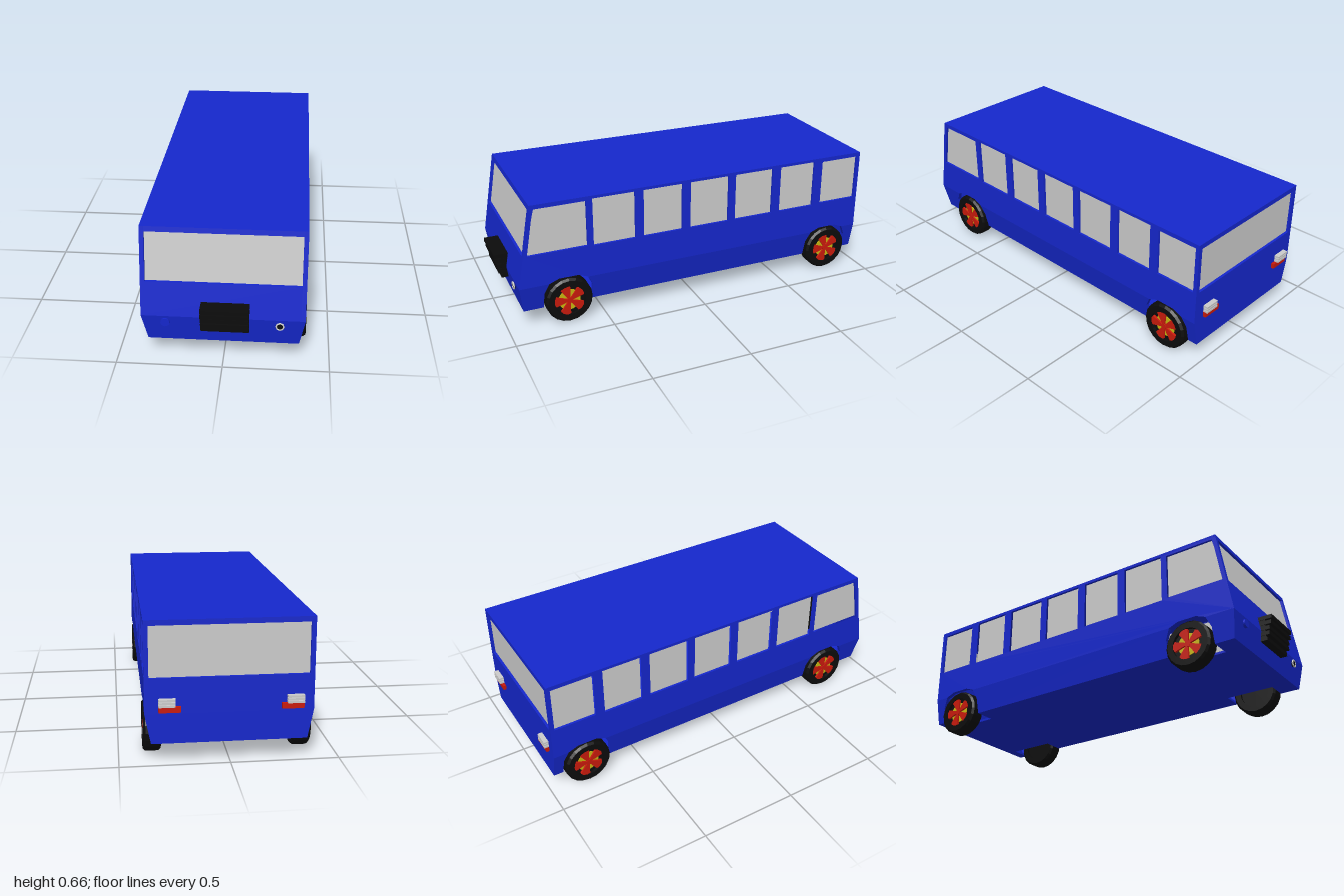
import * as THREE from 'three';

const mat = (color, extra = {}) => new THREE.MeshStandardMaterial({ color, flatShading: true, ...extra });
const BLUE = mat(0x1527cc), GREY = mat(0xcccccc), BLACK = mat(0x0c0c0c), RED = mat(0xc81a0c), YELLOW = mat(0xc8b410);

const FRONT = 0.69, REAR = -0.798;      // axle positions
const BELT = 0.235, TOP = 0.665, FLOOR = 0.097, BACK = -0.976, WALL = 0.02;

// half width and front slope as functions of height
const half = y => 0.383 - Math.max(0, BELT - y) * 0.2;
const nose = y => 0.94 - (y > BELT ? (y - BELT) * 0.174 : (BELT - y) * 0.145);

const toShape = pts => new THREE.Shape(pts.map(p => new THREE.Vector2(...p)));

export function createModel() {
  const bus = new THREE.Group();
  bus.name = 'bus';

  const add = (parent, name, geo, material, x = 0, y = 0, z = 0) => {
    const mesh = new THREE.Mesh(geo, material);
    mesh.name = name;
    mesh.position.set(x, y, z);
    parent.add(mesh);
    return mesh;
  };
  const box = (name, material, x0, x1, y0, y1, z0, z1) =>
    add(bus, name, new THREE.BoxGeometry(x1 - x0, y1 - y0, z1 - z0), material,
      (x0 + x1) / 2, (y0 + y1) / 2, (z0 + z1) / 2);

  // extrude an outline, then place each vertex by a rule
  const panel = (name, material, outline, holes, depth, rule) => {
    const shape = toShape(outline);
    shape.holes = holes.map(toShape);
    const geo = new THREE.ExtrudeGeometry(shape, { depth, bevelEnabled: false });
    const p = geo.attributes.position;
    for (let i = 0; i < p.count; i++) p.setXYZ(i, ...rule(p.getX(i), p.getY(i), p.getZ(i)));
    geo.computeVertexNormals();
    add(bus, name, geo, material);
  };
  const rect = (a0, a1, b0, b1) => [[a0, b0], [a1, b0], [a1, b1], [a0, b1]];

  // side windows, outlined in (z, y)
  const windows = [
    [[0.587, 0.405], [0.905, 0.405], [0.845, 0.643], [0.587, 0.643]],
    rect(0.335, 0.555, 0.4, 0.65), rect(0.08, 0.29, 0.4, 0.65),
    rect(-0.18, 0.035, 0.4, 0.65), rect(-0.437, -0.22, 0.4, 0.65),
    rect(-0.69, -0.485, 0.4, 0.65), rect(-0.96, -0.74, 0.405, 0.643),
  ];

  // upper wall, with the tops of the wheel arches in its lower edge
  const archTop = c => [[c - 0.1, BELT], [c - 0.05, 0.255], [c + 0.05, 0.255], [c + 0.1, BELT]];
  const upper = [[BACK, BELT], ...archTop(REAR), ...archTop(FRONT),
    [nose(BELT), BELT], [nose(TOP), TOP], [BACK, TOP]];

  // skirts before, between and behind the wheel arches
  const archSide = (c, s) => [[c + s * 0.128, FLOOR], [c + s * 0.125, 0.18], [c + s * 0.1, BELT]];
  const skirts = [
    [...archSide(FRONT, 1), [nose(BELT), BELT], [nose(FLOOR), FLOOR]],
    [...archSide(REAR, 1), ...archSide(FRONT, -1).reverse()],
    [...archSide(REAR, -1), [BACK, BELT], [BACK, FLOOR]],
  ];

  for (const s of [1, -1]) {
    const side = s > 0 ? 'left' : 'right';
    const turn = pts => pts.map(([z, y]) => [s * z, y]);
    const place = inset => (a, b, c) => [s * (half(b) - inset - c), b, s * a];
    panel(side + 'Wall', BLUE, turn(upper), windows.map(turn), WALL, place(0));
    skirts.forEach(k => panel(side + 'Skirt', BLUE, turn(k), [], WALL, place(0)));
    windows.forEach(w => panel(side + 'Window', GREY, turn(w), [], 0.004, place(0.012)));
  }

  // front and back walls
  const band = [[-half(BELT), BELT], [half(BELT), BELT], [half(TOP), TOP], [-half(TOP), TOP]];
  const apron = [[-half(FLOOR), FLOOR], [half(FLOOR), FLOOR], [half(BELT), BELT], [-half(BELT), BELT]];
  const screen = rect(-0.362, 0.362, 0.402, 0.64);
  const atFront = inset => (a, b, c) => [a, b, nose(b) - inset + c];
  const atBack = inset => (a, b, c) => [a, b, BACK + inset + c];
  panel('frontWall', BLUE, band, [screen], WALL, atFront(WALL));
  panel('frontApron', BLUE, apron, [], WALL, atFront(WALL));
  panel('windscreen', GREY, screen, [], 0.004, atFront(0.017));
  panel('backWall', BLUE, band, [screen], WALL, atBack(0));
  panel('backApron', BLUE, apron, [], WALL, atBack(0));
  panel('rearWindow', GREY, screen, [], 0.004, atBack(0.013));

  // roof and floor, the floor notched round the wheels
  box('roof', BLUE, -0.383, 0.383, TOP - 0.012, TOP, BACK, nose(TOP));
  const notch = c => [[0.355, c - 0.128], [0.25, c - 0.128], [0.25, c + 0.128], [0.355, c + 0.128]];
  const rightHalf = [[0.355, BACK], ...notch(REAR), ...notch(FRONT), [0.355, nose(FLOOR)]];
  const floor = [...rightHalf, ...rightHalf.map(([x, z]) => [-x, z]).reverse()];
  panel('floor', BLUE, floor.map(([x, z]) => [x, -z]), [], 0.012, (a, b, c) => [a, FLOOR + c, -b]);

  // grille with stepped slats
  box('grilleBody', BLACK, -0.1, 0.12, 0.183, 0.309, 0.78, 0.962);
  [0.968, 0.982, 0.985, 0.995, 1].forEach((z, i) =>
    box('grilleSlat', BLACK, -0.102, 0.122, 0.18 + i * 0.028, 0.2 + i * 0.028, 0.9, z));

  // headlights: one ringed, one covered in body colour
  const lamp = (name, material, r, x, z) =>
    add(bus, name, new THREE.CylinderGeometry(r, r, 0.02, 16).rotateX(Math.PI / 2), material, x, 0.203, z);
  lamp('headlightLens', BLACK, 0.017, 0.265, 0.933);
  add(bus, 'headlightRing', new THREE.TorusGeometry(0.018, 0.004, 6, 8), GREY, 0.265, 0.203, 0.942);
  lamp('headlightCover', BLUE, 0.021, -0.27, 0.936);

  // tail lights: a red lamp below three grey bars
  for (const s of [1, -1]) {
    const span = (a, b) => [s * a - 0.007, s * b - 0.007].sort((p, q) => p - q);
    box('tailLamp', RED, ...span(0.228, 0.328), 0.246, 0.272, -0.992, BACK);
    for (let i = 0; i < 3; i++)
      box('tailBar', GREY, ...span(0.252, 0.328), 0.273 + i * 0.013, 0.283 + i * 0.013, -1, BACK);
  }

  // wheels, built facing +x
  const tyre = new THREE.LatheGeometry([[0.08, -0.041], [0.11, -0.041], [0.12, -0.03], [0.121, 0],
    [0.12, 0.03], [0.11, 0.041], [0.08, 0.041], [0.08, -0.041]]
    .map(p => new THREE.Vector2(...p)), 20).rotateZ(-Math.PI / 2);
  const disc = (r, w) => new THREE.CylinderGeometry(r, r, w, 20).rotateZ(-Math.PI / 2);
  const spoke = new THREE.ExtrudeGeometry(
    toShape([[-0.007, 0.012], [0.007, 0.012], [0.026, 0.07], [0.012, 0.079], [-0.012, 0.079], [-0.026, 0.07]]),
    { depth: 0.012, bevelEnabled: false }).rotateY(Math.PI / 2);
  for (const z of [FRONT, REAR]) for (const s of [1, -1]) {
    const wheel = new THREE.Group();
    wheel.name = (z > 0 ? 'front' : 'rear') + (s > 0 ? 'Left' : 'Right') + 'Wheel';
    wheel.position.set(s * 0.347, 0.124, z);
    wheel.rotation.y = s > 0 ? 0 : Math.PI;
    add(wheel, 'tyre', tyre, BLACK);
    add(wheel, 'rim', disc(0.081, 0.05), BLACK);
    add(wheel, 'hubPlate', disc(0.057, 0.006), YELLOW, 0.026);
    add(wheel, 'hubCap', disc(0.015, 0.014), RED, 0.033);
    for (let i = 0; i < 5; i++)
      add(wheel, 'spoke', spoke, RED, 0.026).rotation.x = i * Math.PI * 0.4 + 0.3;
    bus.add(wheel);
  }
  return bus;
}
